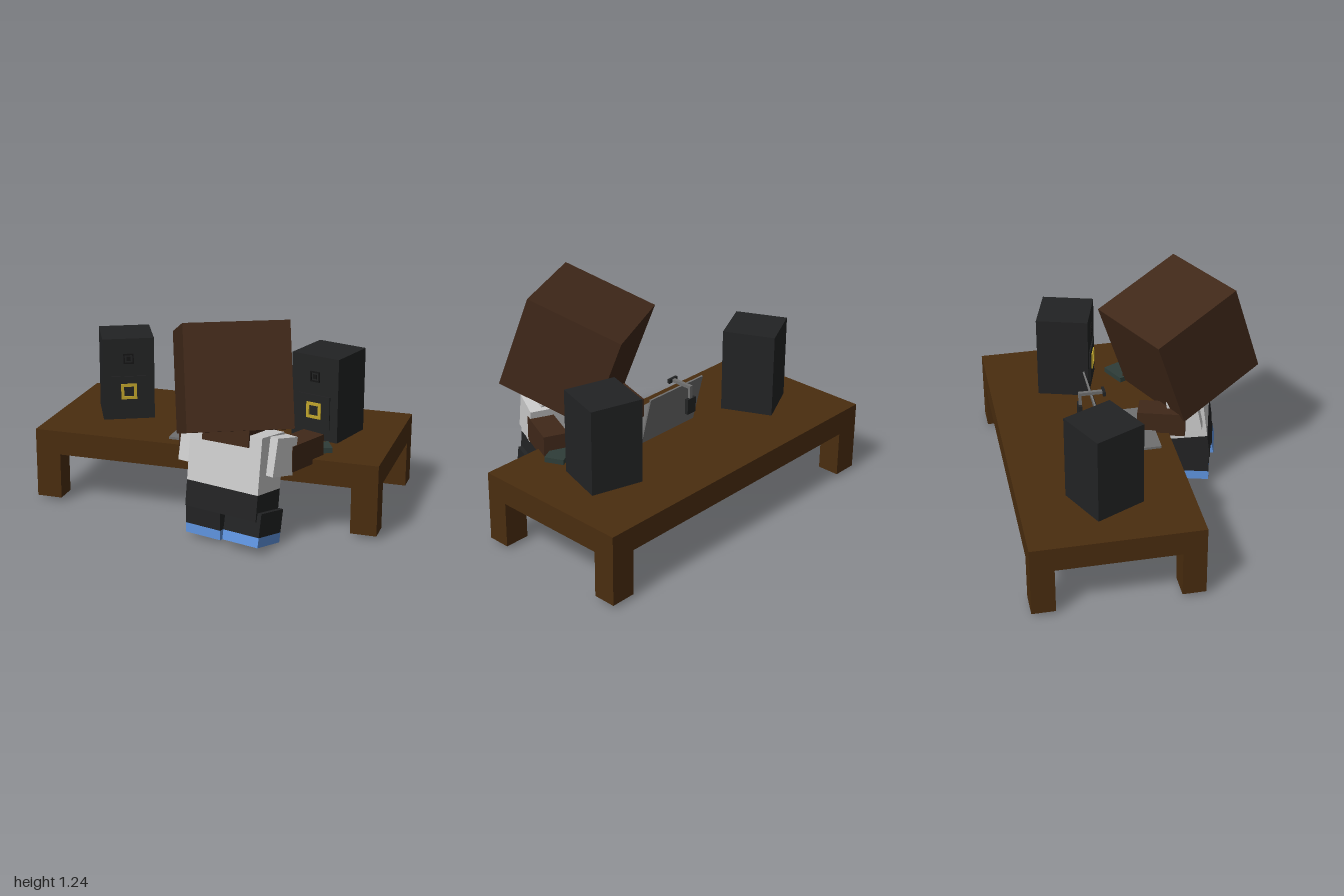
import * as THREE from 'three';

const mat = (color) => new THREE.MeshStandardMaterial({ color, flatShading: true });
const M = {
  wood: mat(0x4a2d0f), skin: mat(0x402819), black: mat(0x222324), dark: mat(0x151515),
  shirt: mat(0xcccccc), blue: mat(0x5f94e0), yellow: mat(0xc0a52c),
  metal: mat(0x707070), mouse: mat(0x2e3d38),
};

function box(parent, name, size, pos, material, rx = 0, ry = 0) {
  const mesh = new THREE.Mesh(new THREE.BoxGeometry(...size), material);
  mesh.name = name;
  mesh.position.set(...pos);
  mesh.rotation.set(rx, ry, 0, 'YXZ');
  parent.add(mesh);
  return mesh;
}

function group(parent, name, pos, rx = 0, ry = 0) {
  const g = new THREE.Group();
  g.name = name;
  g.position.set(...pos);
  g.rotation.set(rx, ry, 0, 'YXZ');
  parent.add(g);
  return g;
}

// Square frame facing +z
function frame(parent, name, outer, inner, depth, pos, material) {
  const square = (Type, s) => new Type([[-s, -s], [s, -s], [s, s], [-s, s]].map((p) => new THREE.Vector2(...p)));
  const shape = square(THREE.Shape, outer / 2);
  shape.holes.push(square(THREE.Path, inner / 2));
  const mesh = new THREE.Mesh(new THREE.ExtrudeGeometry(shape, { depth, bevelEnabled: false }), material);
  mesh.name = name;
  mesh.position.set(...pos);
  parent.add(mesh);
}

function table(root) {
  const g = group(root, 'table', [0, 0, -0.285]);
  box(g, 'tableTop', [2, 0.14, 0.935], [0, 0.365, 0], M.wood);
  for (const sx of [-1, 1]) for (const sz of [-1, 1]) {
    box(g, 'tableLeg', [0.147, 0.265, 0.13], [sx * 0.9265, 0.1625, sz * 0.4025], M.wood);
  }
}

function speaker(root, x, z, yaw) {
  const g = group(root, 'speaker', [x, 0.435, z], 0, yaw);
  box(g, 'speakerCabinet', [0.298, 0.485, 0.298], [0, 0.2425, 0], M.black);
  box(g, 'speakerPanel', [0.2, 0.19, 0.008], [0, 0.165, 0.152], M.black);
  frame(g, 'speakerRing', 0.092, 0.058, 0.008, [0, 0.17, 0.155], M.yellow);
  frame(g, 'tweeterRing', 0.06, 0.044, 0.006, [0, 0.365, 0.149], M.dark);
  box(g, 'tweeter', [0.025, 0.025, 0.006], [0, 0.365, 0.151], M.dark);
}

function laptop(root) {
  const g = group(root, 'laptop', [-0.005, 0.435, -0.18]);
  box(g, 'laptopBase', [0.42, 0.014, 0.29], [0, 0.007, 0.145], M.metal);
  const lid = group(g, 'laptopLid', [0, 0.008, 0], -0.235);
  box(lid, 'lidBack', [0.42, 0.295, 0.01], [0, 0.1475, -0.005], M.metal);
  box(lid, 'screen', [0.4, 0.275, 0.004], [0, 0.1475, 0.001], M.dark);

  // Clip-on webcam hooked over the lid
  const cam = group(root, 'webcam', [-0.045, 0, 0]);
  box(cam, 'camArm', [0.02, 0.018, 0.145], [0, 0.74, -0.252], M.metal);
  box(cam, 'camFrontBar', [0.065, 0.024, 0.016], [0, 0.74, -0.185], M.black);
  box(cam, 'camStem', [0.02, 0.08, 0.016], [0, 0.705, -0.317], M.metal);
  box(cam, 'camWeight', [0.065, 0.09, 0.02], [0, 0.63, -0.32], M.black);
}

function leg(root, name, pos, pitch) {
  const g = group(root, name, pos, pitch, -0.27);
  box(g, 'shoe', [0.222, 0.055, 0.228], [0, 0.0275, 0], M.blue);
  box(g, 'trouserLeg', [0.222, 0.13, 0.228], [0, 0.12, 0], M.black);
}

function figure(root) {
  const g = group(root, 'figure', [0, 0, 0]);
  box(g, 'head', [0.562, 0.565, 0.565], [0.212, 0.888, 0.3], M.skin, -0.34, 0.434);
  box(g, 'neck', [0.28, 0.12, 0.18], [0.25, 0.63, 0.385], M.skin, -0.13, -0.2);

  // Torso leaning towards the table
  const torso = group(g, 'torso', [0.25, 0.405, 0.368], -0.13, -0.27);
  box(torso, 'shirt', [0.45, 0.312, 0.228], [0, 0.07, 0], M.shirt);
  box(torso, 'trouserTop', [0.45, 0.145, 0.228], [0, -0.1585, 0], M.black);

  // Legs: one standing, one tipped onto the toe
  leg(g, 'leftStepLeg', [0.135, 0.033, 0.36], 0);
  leg(g, 'rightStepLeg', [0.37, 0.032, 0.452], -0.2);

  // Arms: sleeves with forearms reaching over the table
  box(g, 'mouseArmSleeve', [0.14, 0.21, 0.17], [0.475, 0.51, 0.365], M.shirt, -0.2, -0.41);
  box(g, 'mouseForearm', [0.14, 0.145, 0.27], [0.555, 0.48, 0.19], M.skin, 0, -0.41);
  box(g, 'typingArmSleeve', [0.15, 0.21, 0.17], [0.035, 0.51, 0.3], M.shirt, -0.2, -0.3);
  box(g, 'typingForearm', [0.14, 0.14, 0.27], [0.005, 0.49, 0.16], M.skin, 0, -0.3);
}

export function createModel() {
  const root = new THREE.Group();
  root.name = 'deskScene';
  table(root);
  speaker(root, -0.62, -0.29, 0.45);
  speaker(root, 0.6, -0.29, -0.29);
  laptop(root);
  box(root, 'mouse', [0.16, 0.03, 0.11], [0.617, 0.45, 0.035], M.mouse, 0, 0.45);
  figure(root);
  return root;
}
